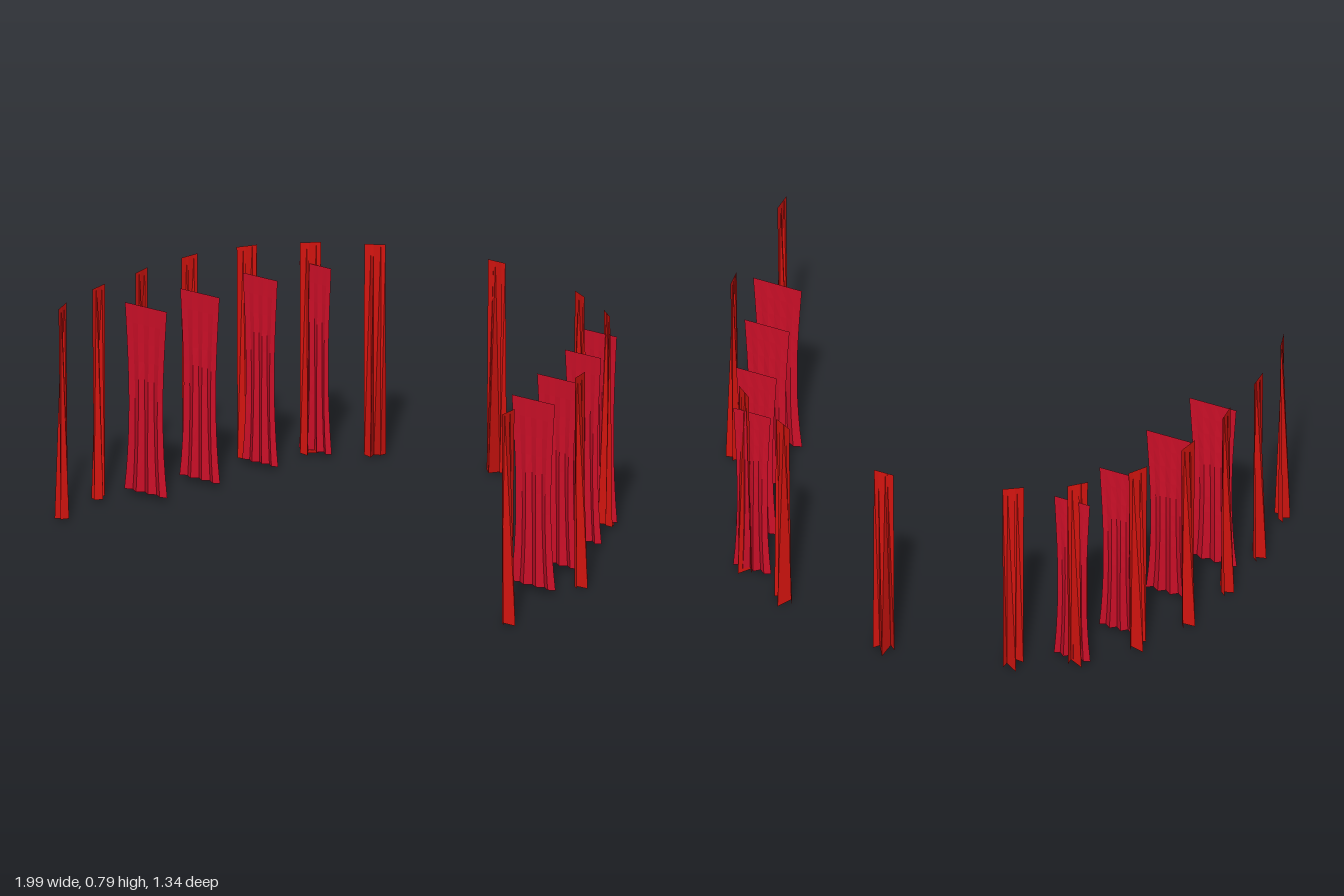
import * as THREE from 'three';

const legMaterial = new THREE.MeshStandardMaterial({ color: 0xd4140f, flatShading: true, side: THREE.DoubleSide });
const panelMaterial = new THREE.MeshStandardMaterial({ color: 0xcc0f28, flatShading: true, side: THREE.DoubleSide });

// Hanging cloth: a straight line at the top that opens into zigzag folds at the hem.
// folds: [x, z, hemY] across the width; widthAt(t) scales x, t = 0 hem, 1 top.
function drape(folds, top, rows, widthAt) {
  const geo = new THREE.PlaneGeometry(1, 1, folds.length - 1, rows);
  const pos = geo.attributes.position;
  for (let i = 0; i < pos.count; i++) {
    const [x, z, hem] = folds[i % folds.length];
    const t = 1 - Math.floor(i / folds.length) / rows;
    pos.setXYZ(i, x * widthAt(t), hem + (top - hem) * t, z * (1 - t));
  }
  geo.computeVertexNormals();
  return geo;
}

export function createModel() {
  const model = new THREE.Group();

  // Narrow folded legs set round a horseshoe: x, z, turn in degrees
  const legGeometry = drape([
    [-0.038, 0.008, 0.012], [-0.014, 0.03, 0.01], [-0.006, -0.027, 0.0],
    [0.02, 0.012, 0.012], [0.037, -0.008, 0.01],
  ], 0.79, 1, () => 1);
  const legs = [
    [0, -0.645, 0], [-0.45, -0.54, 33], [-0.645, -0.425, 42], [-0.803, -0.263, 56],
    [-0.905, -0.062, 76], [-0.95, 0.163, 92], [-0.97, 0.39, 90], [-0.952, 0.63, 105],
    [0.437, -0.537, -28], [0.637, -0.425, -38], [0.941, 0.155, -82], [0.967, 0.62, -90],
  ];
  legs.forEach(([x, z, turn], i) => {
    const leg = new THREE.Mesh(legGeometry, legMaterial);
    leg.name = `narrowCurtain${i + 1}`;
    leg.position.set(x, 0, z);
    leg.rotation.y = THREE.MathUtils.degToRad(turn);
    model.add(leg);
  });

  // Wide side curtains with a drawn-in waist: left edge, right edge, z
  const waist = (t) => 1 - 0.2 * Math.sin(Math.PI * Math.pow(t, 0.85));
  const panelFolds = [
    [-0.5, 0.004], [-0.34, -0.007], [-0.2, 0.009], [-0.06, -0.009], [0.08, 0.008],
    [0.22, -0.009], [0.36, 0.008], [0.5, -0.003],
  ].map(([x, z]) => [x, z, 0.02]);
  const panelGeometry = drape(panelFolds, 0.71, 10, waist);
  const panels = [
    [-0.933, -0.752, 0.284], [-0.862, -0.692, 0.053], [-0.782, -0.632, -0.21], [-0.693, -0.556, -0.425],
    [0.735, 0.922, 0.278], [0.677, 0.85, 0.047], [0.607, 0.763, -0.215], [0.532, 0.675, -0.43],
  ];
  panels.forEach(([a, b, z], i) => {
    const panel = new THREE.Mesh(panelGeometry, panelMaterial);
    panel.name = `sideCurtain${i + 1}`;
    panel.position.set((a + b) / 2, 0, z);
    panel.scale.x = b - a;
    model.add(panel);
  });

  return model;
}
